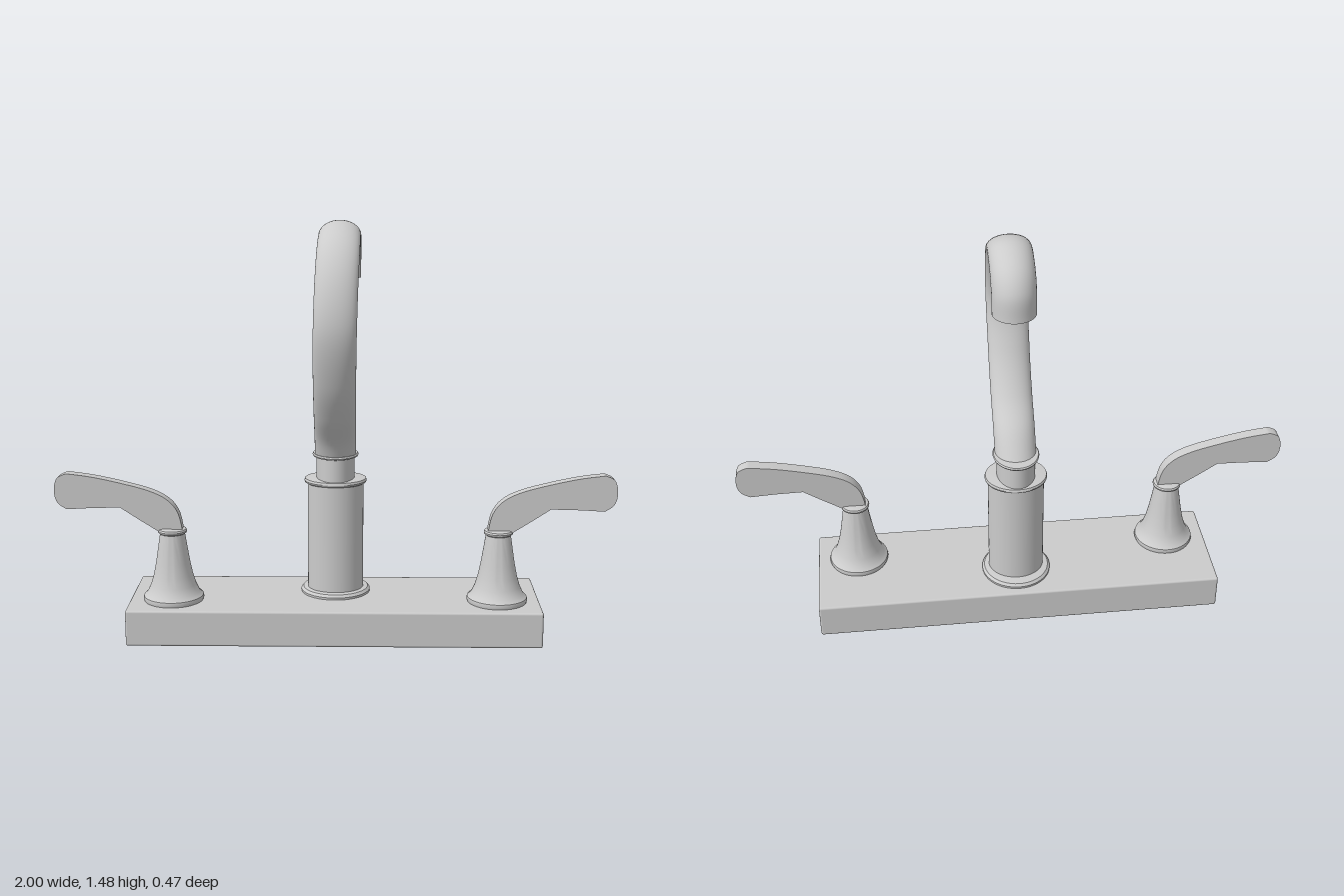
import * as THREE from 'three';
import { toCreasedNormals } from 'three/addons/utils/BufferGeometryUtils.js';
import { RoundedBoxGeometry } from 'three/addons/geometries/RoundedBoxGeometry.js';

const material = new THREE.MeshStandardMaterial({ color: 0xcccccc });

function part(name, geometry, x = 0, y = 0, z = 0) {
  const mesh = new THREE.Mesh(geometry, material);
  mesh.name = name;
  mesh.position.set(x, y, z);
  return mesh;
}

// Turned part from [radius, height] pairs, keeping hard edges sharp
function turned(profile) {
  const points = profile.map(([r, y]) => new THREE.Vector2(r, y));
  return toCreasedNormals(new THREE.LatheGeometry(points, 48), 0.6);
}

// Smooth curve through [z, y] pairs in the plane of the spout
function sideCurve(pairs) {
  return new THREE.CatmullRomCurve3(pairs.map(([z, y]) => new THREE.Vector3(0, y, z)));
}

// Swan-neck spout: oval sections spanning an outer and an inner side curve
function spoutGeometry(rx, lean) {
  const outer = sideCurve([[0.015, 0.64], [0.045, 0.7], [0.12, 0.8], [0.19, 0.93], [0.235, 1.13],
    [0.19, 1.31], [0.09, 1.43], [-0.055, 1.483], [-0.17, 1.44], [-0.222, 1.37], [-0.233, 1.275]]);
  const inner = sideCurve([[-0.14, 0.64], [-0.07, 0.735], [0.02, 0.825], [0.11, 0.965], [0.165, 1.13],
    [0.125, 1.27], [0.06, 1.355], [-0.02, 1.382], [-0.068, 1.355], [-0.085, 1.32], [-0.087, 1.275]]);
  const rings = 90, sides = 36, positions = [], index = [];
  for (let i = 0; i <= rings; i++) {
    const t = i / rings;
    const a = outer.getPoint(t), b = inner.getPoint(t);
    const centre = a.clone().add(b).multiplyScalar(0.5);
    const half = a.sub(b).multiplyScalar(0.5);
    for (let j = 0; j < sides; j++) {
      const angle = (j / sides) * Math.PI * 2;
      const p = centre.clone().addScaledVector(half, Math.cos(angle));
      positions.push(lean * THREE.MathUtils.smoothstep(t, 0.3, 0.75) + rx * Math.sin(angle), p.y, p.z);
      if (i === rings) continue;
      const k = (j + 1) % sides, r0 = i * sides, r1 = r0 + sides;
      index.push(r0 + j, r0 + k, r1 + k, r0 + j, r1 + k, r1 + j);
    }
  }
  const geometry = new THREE.BufferGeometry();
  geometry.setAttribute('position', new THREE.Float32BufferAttribute(positions, 3));
  geometry.setIndex(index);
  geometry.computeVertexNormals();
  return geometry;
}

// Flat curved lever, drawn for the +x side and flipped for the other
function leverGeometry(side) {
  const top = [[0.559, 0.455], [0.596, 0.503], [0.66, 0.536], [0.757, 0.563], [0.864, 0.586], [0.955, 0.598]];
  const tip = [[0.988, 0.58], [0.999, 0.535], [0.988, 0.492], [0.955, 0.468]];
  const points = (list) => list.map(([x, y]) => new THREE.Vector2(side * x, y));
  const shape = new THREE.Shape();
  shape.moveTo(side * 0.543, 0.385);
  shape.splineThru(points(top));
  shape.splineThru(points(tip));
  shape.splineThru(points([[0.864, 0.473], [0.765, 0.475]]));
  shape.lineTo(side * 0.7, 0.432);
  shape.lineTo(side * 0.626, 0.385);
  const depth = 0.042;
  const geometry = new THREE.ExtrudeGeometry(shape, { depth, bevelEnabled: false, curveSegments: 5 });
  geometry.translate(0, 0, -depth / 2);
  return toCreasedNormals(geometry, 0.6);
}

export function createModel() {
  const model = new THREE.Group();
  model.name = 'faucet';

  // Deck plate
  model.add(part('basePlate', new RoundedBoxGeometry(1.475, 0.13, 0.412, 2, 0.008), -0.002, 0.065, -0.026));

  // Central column
  model.add(part('columnFoot', turned([[0, 0.125], [0.125, 0.125], [0.126, 0.138], [0.118, 0.147],
    [0.1, 0.15], [0, 0.15]]), 0, 0, -0.078));
  const body = part('columnBody', new THREE.CylinderGeometry(0.101, 0.101, 0.4, 48), 0, 0.345, -0.07);
  body.scale.z = 0.91;
  const flange = part('columnFlange', turned([[0, 0.538], [0.1, 0.538], [0.111, 0.544], [0.113, 0.55],
    [0.11, 0.558], [0.07, 0.562], [0, 0.562]]), 0, 0, -0.07);
  flange.scale.z = 0.87;
  const neck = part('neck', new THREE.CylinderGeometry(0.069, 0.069, 0.09, 48), 0, 0.598, -0.07);
  neck.scale.z = 1.32;
  const collar = part('neckCollar', turned([[0, 0.638], [0.07, 0.638], [0.081, 0.642], [0.083, 0.647],
    [0.08, 0.652], [0, 0.655]]), 0, 0, -0.07);
  collar.scale.z = 1.19;
  model.add(body, flange, neck, collar);

  // Spout and its closed outlet
  const rx = 0.074, lean = 0.016;
  model.add(part('spout', spoutGeometry(rx, lean)));
  const outlet = part('spoutOutlet', new THREE.CircleGeometry(rx, 36), lean, 1.275, -0.16);
  outlet.rotation.x = Math.PI / 2;
  model.add(outlet);

  // Two mirrored handles
  for (const side of [1, -1]) {
    const handle = new THREE.Group();
    handle.name = side > 0 ? 'leftHandle' : 'rightHandle';
    handle.position.z = 0.038;
    handle.add(part('handleBell', turned([[0, 0.125], [0.104, 0.125], [0.109, 0.138], [0.107, 0.148],
      [0.094, 0.16], [0.081, 0.188], [0.07, 0.225], [0.061, 0.27], [0.053, 0.32], [0.047, 0.36],
      [0.044, 0.378]]), side * 0.583));
    handle.add(part('handleRing', turned([[0, 0.376], [0.044, 0.376], [0.051, 0.381], [0.052, 0.387],
      [0.049, 0.393], [0.04, 0.396], [0, 0.396]]), side * 0.583));
    handle.add(part('lever', leverGeometry(side)));
    model.add(handle);
  }
  return model;
}
